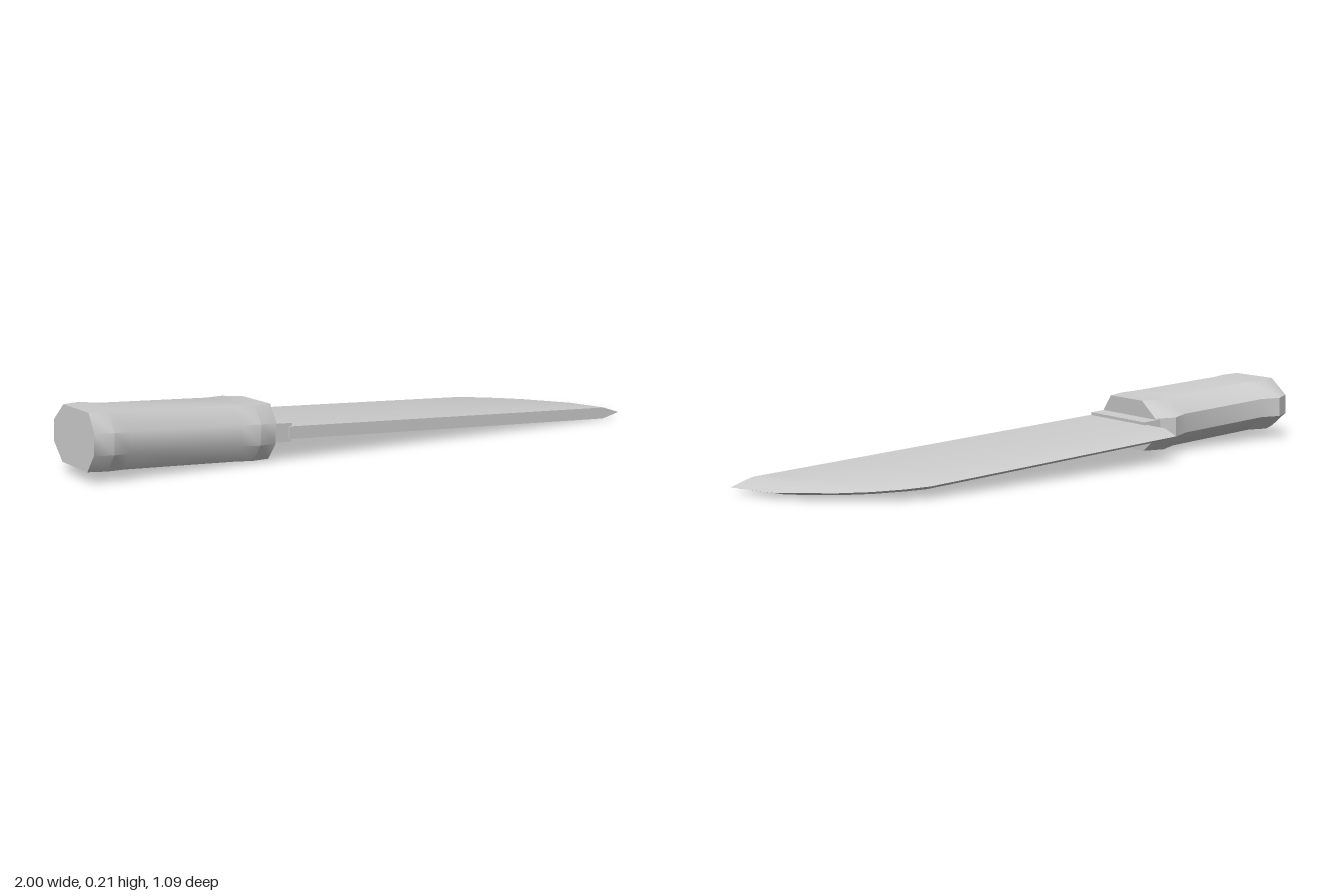
import * as THREE from 'three';
import { toCreasedNormals } from 'three/addons/utils/BufferGeometryUtils.js';

// Skin equal-length rings of [x, y, z] corners, ordered along +x, and cap both ends
function loft(rings, crease) {
  const n = rings[0].length, last = (rings.length - 1) * n, index = [];
  for (let i = 0; i < rings.length - 1; i++) {
    for (let j = 0; j < n; j++) {
      const a = i * n + j, b = i * n + (j + 1) % n;
      index.push(a, b, b + n, a, b + n, a + n);
    }
  }
  for (let j = 1; j < n - 1; j++) {
    index.push(0, j + 1, j, last, last + j, last + j + 1);
  }
  const geo = new THREE.BufferGeometry();
  geo.setAttribute('position', new THREE.Float32BufferAttribute(rings.flat(2), 3));
  geo.setIndex(index);
  return toCreasedNormals(geo, crease);
}

export function createModel() {
  const material = new THREE.MeshStandardMaterial({ color: 0xcccccc });
  const knife = new THREE.Group();
  knife.name = 'bigKnife';
  const add = (name, geo) => {
    const mesh = new THREE.Mesh(geo, material);
    mesh.name = name;
    knife.add(mesh);
    return mesh;
  };

  // Blade: straight back, flat sides, bevel running to a curved cutting edge
  const back = 0.128, half = 0.02;
  const stations = [ // bevel x, bevel z, edge x, edge z
    [-0.365, -0.255, -0.365, -0.308],
    [0.59, -0.262, 0.608, -0.314],
    [0.65, -0.24, 0.684, -0.29],
    [0.735, -0.195, 0.773, -0.243],
    [0.81, -0.138, 0.854, -0.179],
    [0.925, -0.008, 0.983, -0.031],
    [0.966, back, 1.04, back],
  ];
  add('blade', loft(stations.map(([bx, bz, ex, ez]) => [
    [bx, half, bz], [bx, half, back], [bx, -half, back], [bx, -half, bz], [ex, 0, ez],
  ]), 0.6));

  // Collar joining blade and handle
  const collar = add('collar', new THREE.BoxGeometry(0.08, 0.06, 0.285));
  collar.position.set(-0.394, 0, -0.02);

  // Handle: eight-sided grip, flared at both ends
  const grip = [ // x, near side z, far side z
    [-1.027, -0.165, 0.126],
    [-0.967, -0.194, 0.136],
    [-0.908, -0.161, 0.125],
    [-0.54, -0.163, 0.128],
    [-0.473, -0.188, 0.137],
    [-0.41, -0.155, 0.122],
  ];
  const top = 0.088, side = 0.033;
  add('handle', loft(grip.map(([x, z0, z1]) => {
    const c0 = z0 + 0.068, c1 = z1 - 0.042;
    return [
      [x, top, c0], [x, top, c1], [x, side, z1], [x, -side, z1],
      [x, -top, c1], [x, -top, c0], [x, -side, z0], [x, side, z0],
    ];
  }), 0.72));

  // Lay it diagonally, tip slightly down
  knife.rotation.set(0, 0.431, -0.052);
  knife.position.y = 0.069;
  const model = new THREE.Group();
  model.add(knife);
  return model;
}
